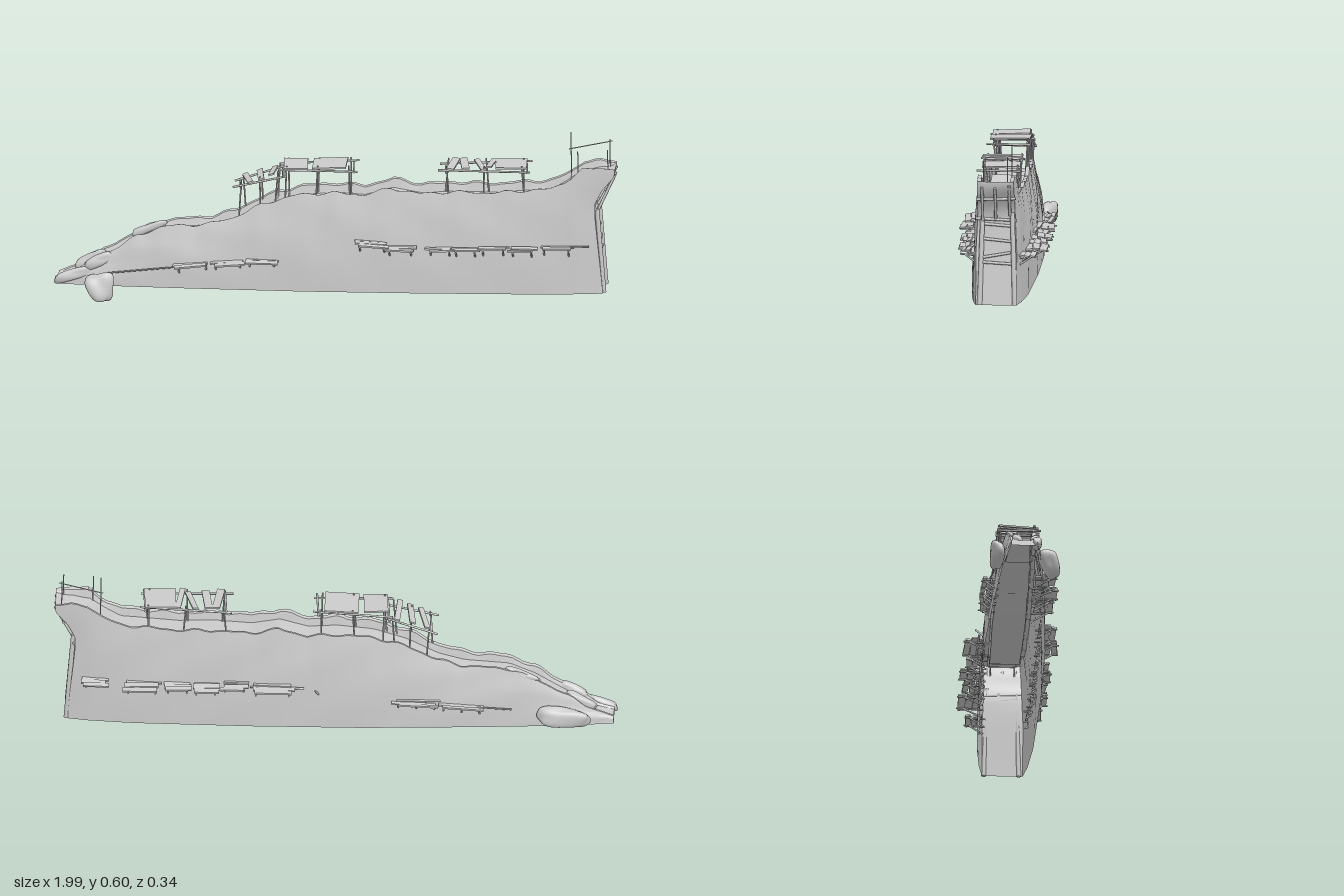
import * as THREE from 'three';
import { toCreasedNormals } from 'three/addons/utils/BufferGeometryUtils.js';

const mat = new THREE.MeshStandardMaterial({ color: 0xcccccc, side: THREE.DoubleSide });
const V = (x, y, z) => new THREE.Vector3(x, y, z);
const lerp = THREE.MathUtils.lerp;
const BASE = 0.057;

// piecewise linear lookup in a list of [position, value]
function lookup(table, p) {
  for (let i = 1; i < table.length; i++) {
    const [a, va] = table[i - 1], [b, vb] = table[i];
    if (p <= b) return lerp(va, vb, THREE.MathUtils.clamp((p - a) / (b - a), 0, 1));
  }
  return table[table.length - 1][1];
}

let seed = 7;
const rand = (a, b) => {
  seed = (seed * 16807) % 2147483647;
  return lerp(a, b, seed / 2147483647);
};

// wall profile along x
const crest = [[-1, 0.075], [-0.92, 0.105], [-0.8, 0.175], [-0.7, 0.235], [-0.61, 0.273], [-0.45, 0.285],
  [-0.36, 0.31], [-0.25, 0.365], [-0.13, 0.4], [0, 0.41], [0.1, 0.403], [0.2, 0.43], [0.3, 0.412], [0.42, 0.42],
  [0.56, 0.418], [0.7, 0.43], [0.77, 0.435], [0.83, 0.465], [0.88, 0.505], [0.94, 0.512], [1, 0.505]];
const footWidth = [[-1, 0.045], [-0.8, 0.07], [-0.5, 0.09], [-0.1, 0.109], [0.3, 0.11], [0.7, 0.1], [0.9, 0.086], [1, 0.072]];
const rimWidth = [[-1, 0.04], [-0.5, 0.058], [0, 0.075], [0.4, 0.077], [0.8, 0.071], [1, 0.064]];
const trenchDepth = [[-1, 0.004], [-0.9, 0.018], [-0.3, 0.032], [0.9, 0.03], [0.97, 0.02], [1, 0.006]];
// outline of the overhanging end
const endX = [[0.06, 0.948], [0.36, 0.916], [0.4, 0.922], [0.43, 0.945], [0.48, 0.988], [0.51, 0.99]];

function halfWidth(x, y) {
  const t = THREE.MathUtils.clamp((y - BASE) / (lookup(crest, x) - BASE), 0, 1);
  return lerp(lookup(footWidth, x), lookup(rimWidth, x), t ** 1.9) + 0.002 * Math.sin(17 * x + 9 * t) * t * (1 - t) * 4;
}

// hollow wall, open below, lofted from mirrored sections with a sunken walkway on top
function wallGeometry() {
  const heights = [0, 0.2, 0.4, 0.6, 0.72, 0.83, 0.94, 1], N = 100;
  const pos = [], index = [];
  let n = 0;
  for (let i = 0; i <= N; i++) {
    const x = -1 + 2 * i / N;
    const side = s => {
      const fade = Math.min(1, (1 - Math.abs(x)) * 8);
      const H = lookup(crest, x) + fade * 0.004 * Math.sin(43 * x + s) + fade * 0.003 * Math.sin(71 * x + 2 * s);
      const ring = heights.map(t => [halfWidth(x, lerp(BASE, lookup(crest, x), t)), lerp(BASE, H, t)]);
      const w = lookup(rimWidth, x);
      ring.push([w - 0.014, H - 0.003], [w - 0.019, lookup(crest, x) - lookup(trenchDepth, x)]);
      return ring.map(([z, y]) => {
        const px = x < 0.75 ? x : lerp(0.75, lookup(endX, y), (x - 0.75) / 0.25);
        return [Math.max(px, -0.98), y, z * s];
      });
    };
    const ring = [...side(1), ...side(-1).reverse()];
    n = ring.length;
    ring.forEach(p => pos.push(...p));
  }
  const quad = (a, b, c, d) => index.push(a, b, c, a, c, d);
  for (let i = 0; i < N; i++)
    for (let j = 0; j < n - 1; j++)
      quad(i * n + j, i * n + n + j, i * n + n + j + 1, i * n + j + 1);
  for (let j = 0; j < n / 2 - 1; j++) {
    const e = N * n;
    quad(e + j, e + n - 1 - j, e + n - 2 - j, e + j + 1);
    quad(j, j + 1, n - 2 - j, n - 1 - j);
  }
  const g = new THREE.BufferGeometry();
  g.setAttribute('position', new THREE.Float32BufferAttribute(pos, 3));
  g.setIndex(index);
  return toCreasedNormals(g, 0.7);
}

function add(parent, name, geo) {
  const m = new THREE.Mesh(geo, mat);
  m.name = name;
  parent.add(m);
  return m;
}

// round timber between two points
function pole(parent, name, a, b, r = 0.004) {
  const d = b.clone().sub(a);
  const m = add(parent, name, new THREE.CylinderGeometry(r * 0.9, r, d.length(), 8));
  m.position.copy(a).add(b).multiplyScalar(0.5);
  m.quaternion.setFromUnitVectors(V(0, 1, 0), d.normalize());
}

function plank(parent, name, c, size, rot) {
  const m = add(parent, name, new THREE.BoxGeometry(...size));
  m.position.copy(c);
  m.rotation.set(...rot);
}

// worn boulder: squared-off, uneven sphere, tapering by `taper` towards its lower end
function boulder(parent, c, r, rot, k, taper = 0) {
  const g = new THREE.SphereGeometry(1, 24, 16), p = g.attributes.position;
  for (let i = 0; i < p.count; i++) {
    const v = V(0, 0, 0).fromBufferAttribute(p, i);
    const q = (v.x ** 4 + v.y ** 4 + v.z ** 4) ** -0.25;
    v.multiplyScalar(lerp(1, q, 0.8) * (0.93 + 0.12 * Math.sin(3 * v.x + 2 * v.y + k) * Math.cos(3 * v.z + k)));
    const f = 1 + taper * v.y;
    p.setXYZ(i, v.x * r[0] * f, v.y * r[1], v.z * r[2] * f);
  }
  g.computeVertexNormals();
  const m = add(parent, 'boulder', g);
  m.position.copy(c);
  m.rotation.set(...rot);
}

// side shelf: lengthwise boards on braced brackets, set into the wall by `inset`
function shelf(parent, s, x0, x1, y, out, slope = 0, inset = 0.008) {
  const g = new THREE.Group();
  g.name = 'sideShelf';
  parent.add(g);
  const xm = (x0 + x1) / 2, wall = halfWidth(xm, y) - inset, bw = (out - wall) / 3;
  for (let i = 0; i < 3; i++)
    plank(g, 'shelfBoard', V(xm + rand(-0.01, 0.01), y - 0.004 + rand(-0.004, 0.005), s * (wall + bw * (i + 0.5))),
      [(x1 - x0) * rand(0.92, 1.06), 0.006, bw * 0.96], [s * rand(-0.08, 0.28), rand(-0.07, 0.07), slope + rand(-0.03, 0.03)]);
  const count = Math.max(2, Math.round((x1 - x0) / 0.06));
  for (let i = 0; i < count; i++) {
    const x = lerp(x0 + 0.012, x1 - 0.012, i / (count - 1)), yy = y - 0.012 + slope * (x - xm);
    pole(g, 'shelfBeam', V(x, yy - 0.004, s * (wall - 0.012)), V(x, yy + 0.002, s * (out + 0.004)), 0.0035);
    pole(g, 'shelfBrace', V(x, yy - 0.03, s * (wall - 0.004)), V(x, yy, s * (wall + bw * 2.2)), 0.0035);
  }
}

// canopy: posts, crossbeams and boards over the walkway; boards are [x, width, yaw]
function canopy(parent, x0, x1, y0, y1, boards) {
  const g = new THREE.Group();
  g.name = 'canopy';
  parent.add(g);
  const slope = Math.atan2(y1 - y0, x1 - x0), at = x => lerp(y0, y1, (x - x0) / (x1 - x0));
  for (const s of [-1, 1]) {
    pole(g, 'canopyRail', V(x0 - 0.02, y0 - 0.008 + s * 0.004, s * 0.062), V(x1 + 0.02, y1 - 0.006 - s * 0.006, s * 0.06));
    for (const x of [x0 + 0.01, (x0 + x1) / 2, x1 - 0.01])
      pole(g, 'canopyPost', V(x + rand(-0.012, 0.012), lookup(crest, x) - 0.03, s * 0.052), V(x, at(x) + 0.01, s * 0.06), 0.003);
  }
  for (const x of [x0, x1]) pole(g, 'canopyBeam', V(x, at(x) - 0.012, -0.07), V(x + 0.01, at(x) - 0.008, 0.085));
  for (const [x, w, yaw] of boards)
    plank(g, 'canopyBoard', V(x, at(x) + rand(0, 0.006), rand(-0.002, 0.01)), [w, 0.006, rand(0.13, 0.145)],
      [rand(-0.04, 0.04), yaw, slope + rand(-0.04, 0.04)]);
}

export function createModel() {
  const model = new THREE.Group();
  model.name = 'rampart';
  add(model, 'wall', wallGeometry());

  // boulders around the low end
  const rocks = new THREE.Group();
  rocks.name = 'boulders';
  model.add(rocks);
  boulder(rocks, V(-0.825, 0.056, 0.096), [0.05, 0.053, 0.031], [-0.35, 0, 0.2], 1, 0.3);
  boulder(rocks, V(-0.805, 0.1, -0.088), [0.094, 0.036, 0.027], [0, 0, 0.08], 2);
  boulder(rocks, V(-0.925, 0.09, 0.045), [0.075, 0.02, 0.017], [0, 0, 0.3], 3);
  boulder(rocks, V(-0.865, 0.132, -0.022), [0.065, 0.02, 0.02], [0, 0, 0.5], 4);
  boulder(rocks, V(-0.66, 0.243, -0.04), [0.065, 0.014, 0.015], [0, 0, 0.35], 5);
  boulder(rocks, V(-0.835, 0.14, 0.042), [0.06, 0.022, 0.018], [0, 0, 0.45], 6);

  // shelves: [start, end, height, reach, slope, inset]
  const front = [[0.08, 0.19, 0.24, 0.155, -0.06], [0.185, 0.285, 0.228, 0.165, 0], [0.33, 0.42, 0.226, 0.14, 0],
    [0.42, 0.51, 0.226, 0.15, 0], [0.515, 0.61, 0.23, 0.14, 0.02], [0.62, 0.71, 0.227, 0.145, 0],
    [0.73, 0.84, 0.23, 0.13, 0], [-0.56, -0.44, 0.145, 0.13, 0.12, 0.03], [-0.43, -0.32, 0.158, 0.14, 0.08, 0.03],
    [-0.31, -0.2, 0.165, 0.13, 0, 0.03]];
  const back = [[-0.52, -0.37, 0.15, 0.13, 0.08], [-0.36, -0.21, 0.163, 0.13, 0.04],
    [0.15, 0.29, 0.222, 0.165, 0], [0.31, 0.4, 0.228, 0.15, 0], [0.41, 0.5, 0.226, 0.17, 0],
    [0.51, 0.6, 0.222, 0.155, 0], [0.62, 0.74, 0.226, 0.168, 0], [0.8, 0.89, 0.23, 0.135, 0]];
  front.forEach(p => shelf(model, 1, ...p));
  back.forEach(p => shelf(model, -1, ...p));
  pole(model, 'sideRail', V(-0.8, 0.105, 0.074), V(-0.56, 0.135, 0.094), 0.003);
  pole(model, 'sideRail', V(0.8, 0.23, 0.1), V(0.9, 0.232, 0.09), 0.003);
  pole(model, 'sideRail', V(-0.62, 0.13, -0.09), V(-0.5, 0.145, -0.105), 0.003);
  pole(model, 'sideRail', V(0.11, 0.215, -0.115), V(0.3, 0.22, -0.118), 0.004);
  pole(model, 'wallPeg', V(0.06, 0.185, -0.1), V(0.07, 0.215, -0.13), 0.004);

  // canopies over the walkway
  canopy(model, -0.34, -0.19, 0.425, 0.475, [[-0.31, 0.02, 0.2], [-0.265, 0.022, 0.1], [-0.22, 0.02, -0.05]]);
  canopy(model, -0.18, 0.06, 0.49, 0.495, [[-0.14, 0.085, 0.05], [-0.02, 0.12, 0]]);
  canopy(model, 0.385, 0.67, 0.498, 0.502, [[0.415, 0.028, -0.1], [0.455, 0.028, 0.12], [0.51, 0.02, 0.25], [0.55, 0.02, -0.1], [0.62, 0.11, 0.04]]);

  // lookout poles and rail at the high end
  const lookout = new THREE.Group();
  lookout.name = 'lookout';
  model.add(lookout);
  for (const [x, z, top] of [[0.83, -0.05, 0.612], [0.968, -0.041, 0.59], [0.965, 0.043, 0.572], [0.86, 0.045, 0.565]])
    pole(lookout, 'lookoutPole', V(x, 0.44, z), V(x - 0.003, top, z), 0.002);
  pole(lookout, 'lookoutRail', V(0.82, 0.55, -0.05), V(0.975, 0.584, -0.041), 0.002);

  // timber frame on the end face
  const frame = new THREE.Group();
  frame.name = 'endFrame';
  model.add(frame);
  for (const [z, top] of [[0.058, 0.365], [-0.066, 0.385]])
    pole(frame, 'framePost', V(0.95, 0.058, z), V(0.925, top, z * 0.85), 0.009);
  for (const [z, bottom, top] of [[0.048, 0.35, 0.485], [0.002, 0.365, 0.482], [-0.048, 0.375, 0.492]])
    pole(frame, 'overhangPost', V(0.927, bottom, z), V(0.99, top, z), 0.0055);
  for (const [ya, yb, w] of [[0.21, 0.203, 0.058], [0.226, 0.243, 0.05], [0.293, 0.282, 0.055], [0.345, 0.336, 0.055],
    [0.363, 0.356, 0.073], [0.436, 0.44, 0.07]])
    pole(frame, 'frameRung', V(lookup(endX, ya) + 0.006, ya, w), V(lookup(endX, yb) + 0.006, yb, -w), 0.0055);
  return model;
}
